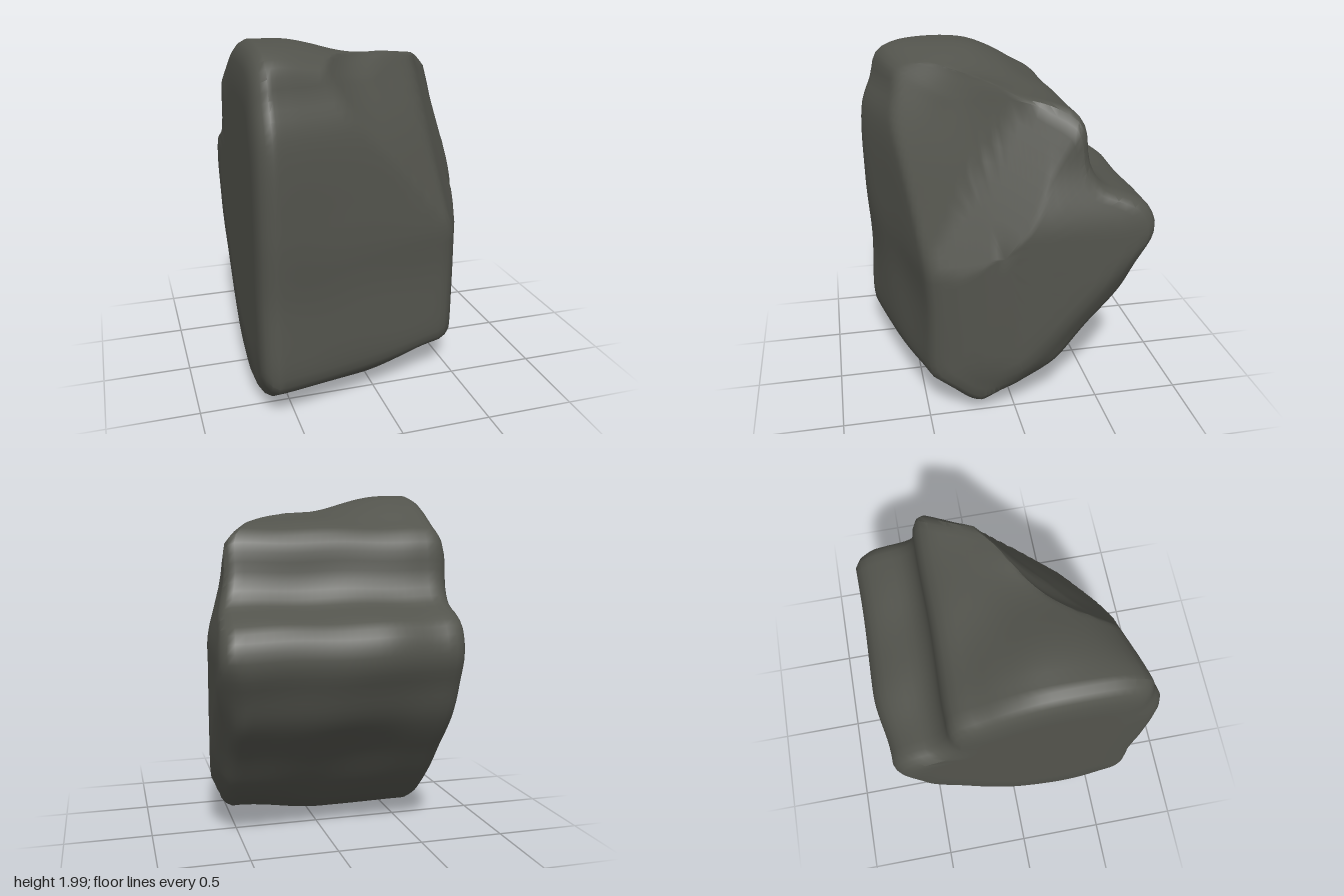
import * as THREE from 'three';
import { toCreasedNormals } from 'three/addons/utils/BufferGeometryUtils.js';

const { lerp, clamp, smoothstep } = THREE.MathUtils;

// Side profile of the boulder as [z, y], counter-clockwise seen from +x
const PROFILE = [
  [0.74, 0.28], [0.72, 0.2], [0.62, 0.13], [0.5, 0.05], [0.4, 0.02], [0.28, 0.02], [0, 0.12],
  [-0.2, 0.3], [-0.4, 0.55], [-0.6, 0.79], [-0.68, 0.96], [-0.74, 1.1], [-0.74, 1.2],
  [-0.69, 1.3], [-0.6, 1.35], [-0.45, 1.41], [-0.38, 1.52], [-0.355, 1.7], [-0.32, 1.775],
  [-0.2, 1.845], [-0.07, 1.92], [0.1, 1.985], [0.35, 2], [0.55, 1.97], [0.64, 1.91],
  [0.68, 1.77], [0.74, 1.6], [0.75, 1.1], [0.73, 0.7],
];
const CENTRE = { z: 0.1, y: 1.05 };
const LOOP = 110;

// Bevelled left cap, long body, rounded right cap: [along 0..1, offset in x, scale of the section]
const stations = [];
for (const s of [0, 0.35, 0.7, 0.89]) stations.push([0, -0.08, s]);
stations.push([0, -0.06, 0.945], [0, -0.035, 0.98]);
for (let i = 0; i <= 24; i++) stations.push([i / 24, 0, 1]);
stations.push([1, 0.035, 0.975]);
for (const s of [0.93, 0.86, 0.78, 0.7, 0.6, 0.5, 0.4, 0.3, 0.2, 0.1, 0]) stations.push([1, 0.055, s]);

// The right side slants back towards the front and draws in along its other edges
const SIDE = [[-0.8, 0.66], [-0.6, 0.68], [-0.2, 0.67], [0, 0.65], [0.2, 0.6], [0.4, 0.53], [0.52, 0.45], [0.8, 0.35]];
function rightSide(z, y) {
  let i = 0;
  while (i < SIDE.length - 2 && z > SIDE[i + 1][0]) i++;
  const [[z0, x0], [z1, x1]] = [SIDE[i], SIDE[i + 1]];
  let x = lerp(x0, x1, (z - z0) / (z1 - z0));
  const back = 1 - smoothstep(z, 0.1, 0.5);
  x -= back * 0.08 * smoothstep(y, 1.15, 1.6);
  x -= back * 0.05 * (1 - smoothstep(y, 0.1, 0.4));
  // Worn edge along the sloping underside
  x -= back * 0.08 * (1 - smoothstep(0.75 * z + 0.66 * y - 0.08, 0, 0.16));
  // Bevel that meets the broken corner
  const edgeZ = lerp(0.52, -0.12, clamp((y - 0.92) / 0.9, 0, 1));
  return Math.min(x, 0.45 + 0.55 * (edgeZ - z));
}

// Large slanted break across the top front right corner, slightly hollow near the top
const cutNormal = new THREE.Vector3(0.619, 0.429, 0.659).normalize();
function breakCorner(p) {
  const r2 = (p.x + 0.08) ** 2 + (p.z - 0.22) ** 2;
  const hollow = 0.09 * Math.exp(-r2 / 0.12) * smoothstep(p.y, 1.4, 1.9);
  const over = p.dot(cutNormal) - 1.016 + hollow;
  if (over > 0) p.addScaledVector(cutNormal, -over);
}

function surfacePoint([along, offset, scale], [pz, py]) {
  let z = lerp(CENTRE.z, pz, scale);
  let y = lerp(CENTRE.y, py, scale);
  // Front recedes, top sinks and bottom rises towards the right
  z -= 0.24 * along ** 1.3 * smoothstep(z, 0, 0.65);
  z += 0.05 * (1 - smoothstep(along, 0, 0.35)) * (1 - smoothstep(z, -0.75, -0.4));
  y -= 0.1 * smoothstep(along, 0.1, 0.8) * smoothstep(y, 1.8, 2);
  y += 0.07 * smoothstep(along, 0.5, 1) * (1 - smoothstep(y, 0, 0.4));
  const x = lerp(-0.6, rightSide(z, y) - 0.055, along) + offset;
  // Gentle weathering, kept off the flat left cap
  const w = 0.004 * smoothstep(along, 0, 0.15) * scale;
  const p = new THREE.Vector3(x, y, z);
  p.z += w * Math.sin(7 * x + 5 * y);
  p.y += w * Math.sin(11 * x - 6 * z) * smoothstep(y, 0.1, 0.4);
  breakCorner(p);
  return p;
}

function boulderGeometry() {
  const curve = new THREE.CatmullRomCurve3(
    PROFILE.map(([z, y]) => new THREE.Vector3(0, y, z)), true, 'centripetal');
  const loop = curve.getSpacedPoints(LOOP).slice(0, LOOP).map((p) => [p.z, p.y]);
  const positions = [];
  const indices = [];
  stations.forEach((station, i) => {
    loop.forEach((point, j) => {
      positions.push(...surfacePoint(station, point).toArray());
      if (i === stations.length - 1) return;
      const k = (j + 1) % LOOP;
      const a = i * LOOP + j, b = i * LOOP + k, c = a + LOOP, d = b + LOOP;
      if (station[2] > 0) indices.push(a, b, c);
      if (stations[i + 1][2] > 0) indices.push(b, d, c);
    });
  });
  const geometry = new THREE.BufferGeometry();
  geometry.setAttribute('position', new THREE.Float32BufferAttribute(positions, 3));
  geometry.setIndex(indices);
  return toCreasedNormals(geometry, 0.6);
}

export function createModel() {
  const group = new THREE.Group();
  group.name = 'rock';
  const boulder = new THREE.Mesh(boulderGeometry(), new THREE.MeshStandardMaterial({ color: 0x53544d }));
  boulder.name = 'boulder';
  group.add(boulder);
  return group;
}
